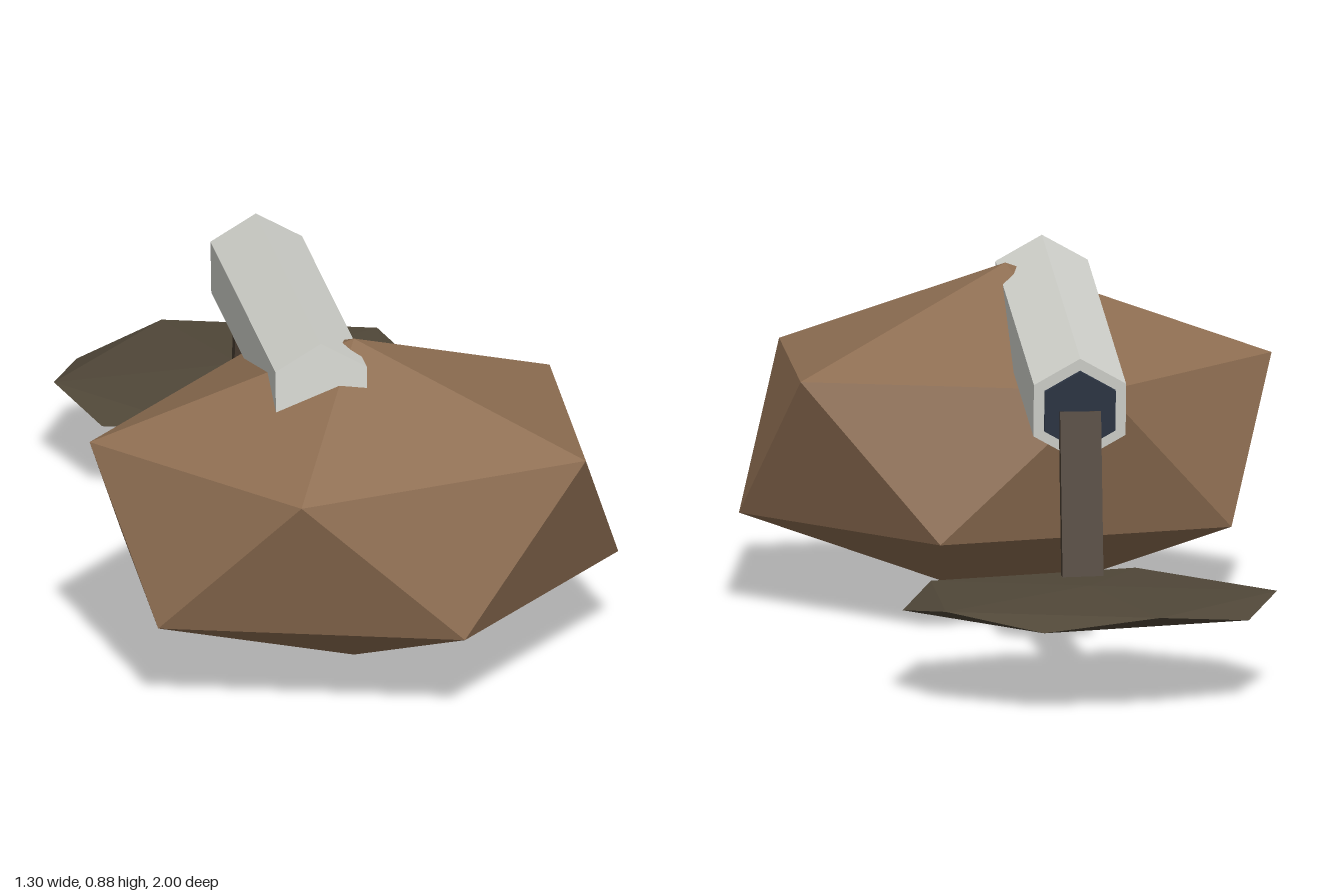
import * as THREE from 'three';

const mat = (name, color) => {
  const m = new THREE.MeshStandardMaterial({ color, flatShading: true });
  m.name = name;
  return m;
};

// Faceted stone: an icosahedron standing on a corner, stretched to an ellipsoid
function facetedStone(rx, ry, rz) {
  const g = new THREE.IcosahedronGeometry(1, 0);
  g.rotateX(-Math.atan2((1 + Math.sqrt(5)) / 2, 1));
  g.rotateY(-Math.PI / 2);
  g.scale(rx, ry, rz);
  g.computeVertexNormals();
  return g;
}

// Hexagonal prism along z with a corner pointing up
const hexPrism = (radius, length) =>
  new THREE.CylinderGeometry(radius, radius, length, 6).rotateX(Math.PI / 2);

export function createModel() {
  const group = new THREE.Group();
  group.name = 'rockSpout';

  const rock = mat('brown rock', 0x8d6d51);
  const pale = mat('pale grey', 0xd3d4ce);
  const dark = mat('dark blue', 0x2d3645);
  const mud = mat('dark mud', 0x504738);
  const stream = mat('dark brown', 0x4a3e32);

  const add = (name, geometry, material, x, y, z, parent = group) => {
    const mesh = new THREE.Mesh(geometry, material);
    mesh.name = name;
    mesh.position.set(x, y, z);
    parent.add(mesh);
    return mesh;
  };

  // Large boulder at the front
  add('boulder', facetedStone(0.727, 0.42, 0.559), rock, 0, 0.42, 0.525);

  // Sloping pipe, lower at the back, with a dark mouth
  const pipe = new THREE.Group();
  pipe.name = 'pipe';
  pipe.position.set(-0.1, 0.7, 0.134);
  pipe.rotation.x = -0.105;
  group.add(pipe);
  add('pipeBody', hexPrism(0.13, 1.056), pale, 0, 0, 0, pipe);
  add('pipeMouth', hexPrism(0.1, 0.03), dark, 0, 0, -0.525, pipe);

  // Thin stream falling from the mouth
  const fall = add('stream', new THREE.BoxGeometry(0.1, 0.42, 0.04), stream, -0.1, 0.435, -0.43);
  fall.rotation.x = 0.17;

  // Flat puddle behind the boulder
  add('puddle', facetedStone(0.511, 0.037, 0.392), mud, -0.1, 0.225, -0.667);

  return group;
}
